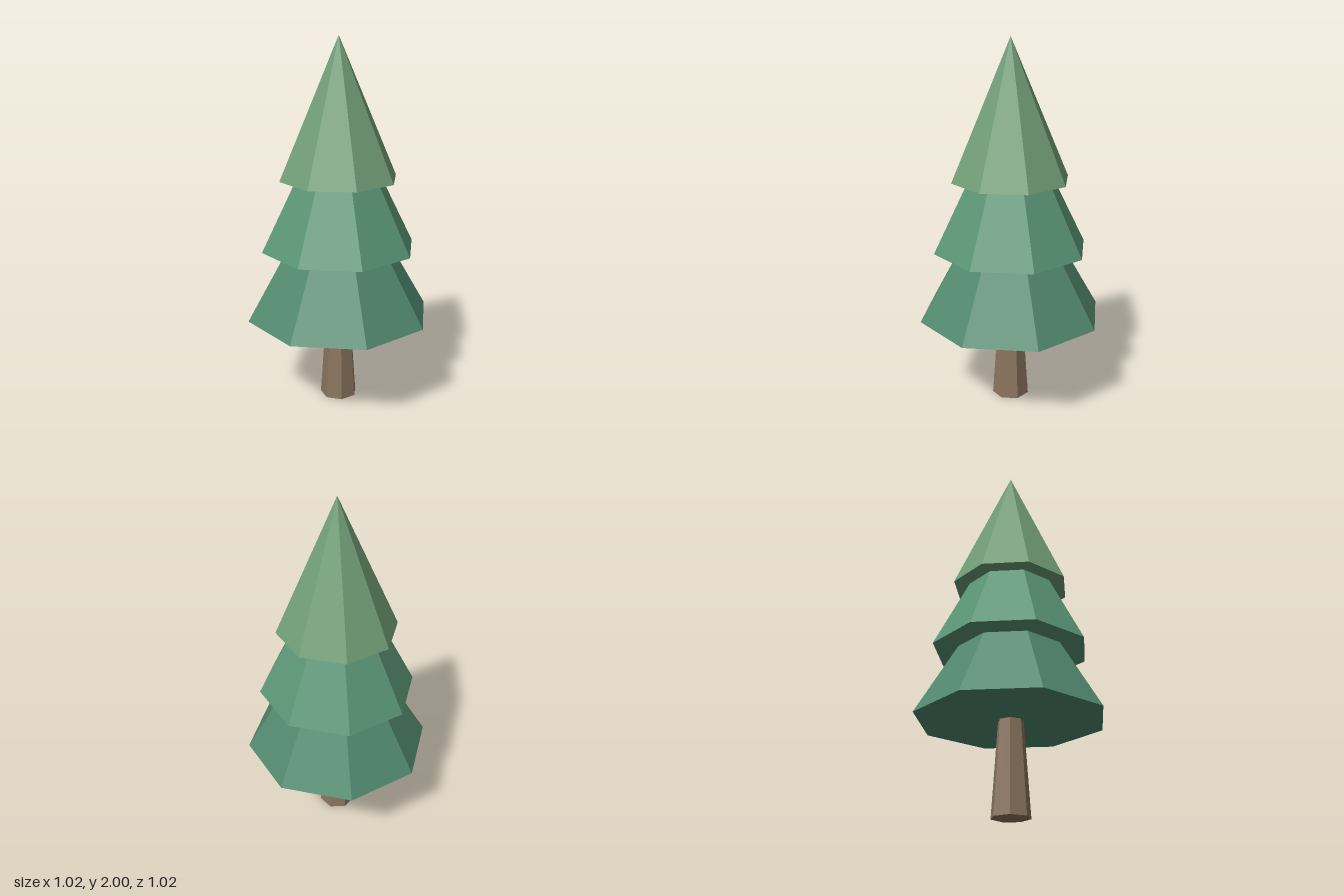
import * as THREE from 'three';

const material = (color) => new THREE.MeshStandardMaterial({ color, flatShading: true });

// Upright faceted solid standing on baseY, with one corner pointing along +x
function tapered(name, topR, bottomR, baseY, height, sides, color) {
  const geometry = topR > 0
    ? new THREE.CylinderGeometry(topR, bottomR, height, sides, 1, false, Math.PI / 2)
    : new THREE.ConeGeometry(bottomR, height, sides, 1, false, Math.PI / 2);
  geometry.translate(0, baseY + height / 2, 0);
  const mesh = new THREE.Mesh(geometry, material(color));
  mesh.name = name;
  return mesh;
}

export function createModel() {
  const tree = new THREE.Group();
  tree.name = 'pineTree';

  // Seven-sided trunk, narrowing upwards
  tree.add(tapered('trunk', 0.068, 0.103, 0, 0.5, 7, 0x8b7660));

  // Three overlapping eight-sided foliage cones: base radius, base height, cone height, colour
  const tiers = [
    ['lowerFoliage', 0.509, 0.495, 0.885, 0x528a6f],
    ['middleFoliage', 0.424, 0.88, 0.85, 0x5b9676],
    ['upperFoliage', 0.322, 1.26, 0.74, 0x729f78],
  ];
  for (const [name, radius, baseY, height, color] of tiers) {
    tree.add(tapered(name, 0, radius, baseY, height, 8, color));
  }
  return tree;
}
